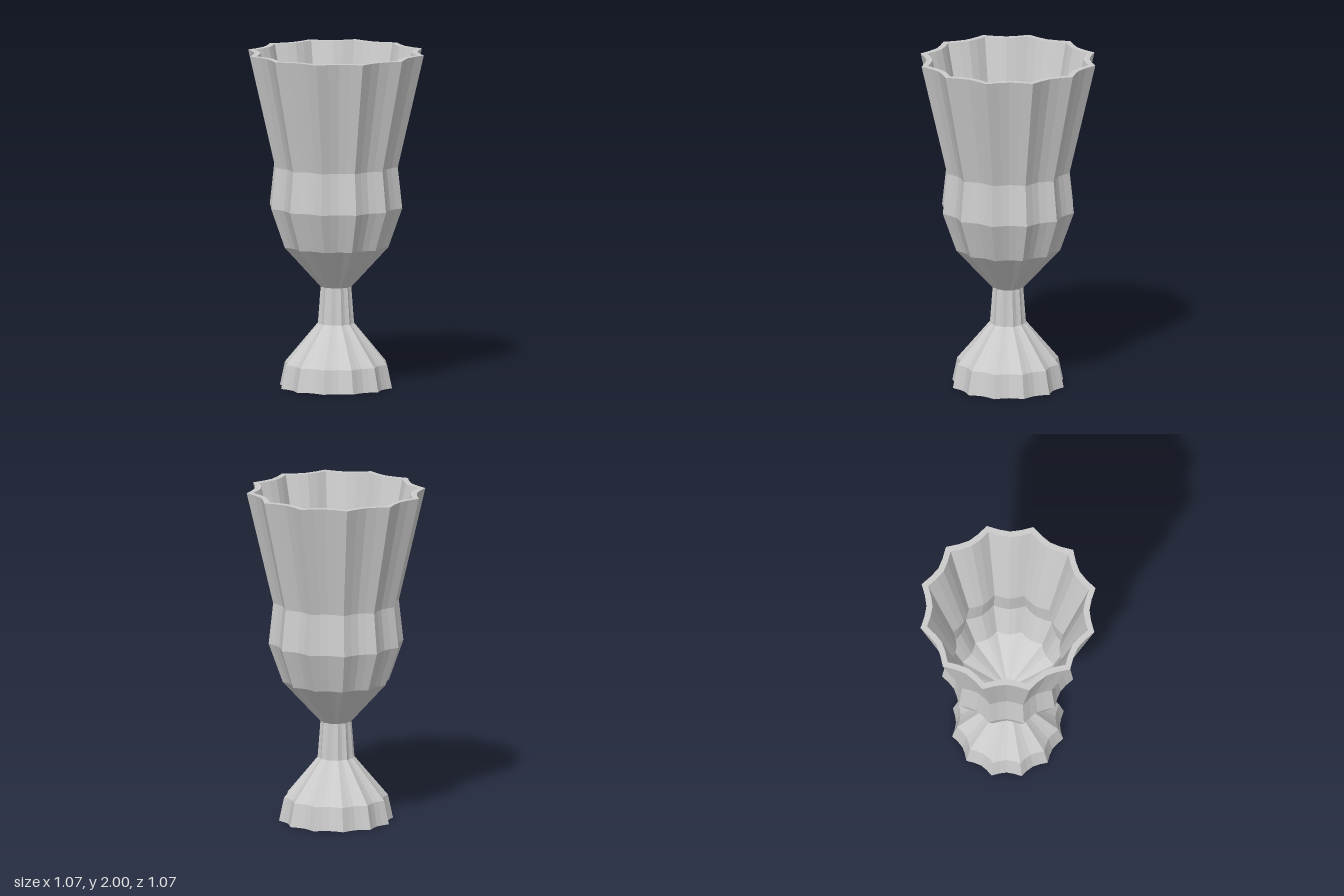
import * as THREE from 'three';

const LOBES = 12;
const SEGMENTS = LOBES * 4;
const DEPTH = 0.094; // valley depth as a share of the radius

// Revolve a profile of [radius, height] pairs, then pinch it into pointed flutes
function fluted(name, profile, material) {
  const points = profile.map(([r, y]) => new THREE.Vector2(r, y));
  const geometry = new THREE.LatheGeometry(points, SEGMENTS);
  const pos = geometry.attributes.position;
  for (let i = 0; i < pos.count; i++) {
    const angle = Math.atan2(pos.getX(i), pos.getZ(i));
    const k = 1 - DEPTH * Math.abs(Math.sin(angle * LOBES / 2));
    pos.setX(i, pos.getX(i) * k);
    pos.setZ(i, pos.getZ(i) * k);
  }
  const flat = geometry.toNonIndexed();
  flat.computeVertexNormals();
  const mesh = new THREE.Mesh(flat, material);
  mesh.name = name;
  return mesh;
}

export function createModel() {
  const group = new THREE.Group();
  group.name = 'goblet';
  const material = new THREE.MeshStandardMaterial({ color: 0xcccccc, flatShading: true });

  // Closed underside and flared foot
  group.add(fluted('foot', [[0, 0], [0.34, 0], [0.31, 0.14], [0.11, 0.38]], material));

  // Narrow stem
  group.add(fluted('stem', [[0.11, 0.38], [0.093, 0.6]], material));

  // Outer wall of the cup, from the stem up to the lip
  group.add(fluted('cupOutside', [
    [0.093, 0.6], [0.318, 0.845], [0.402, 1.08], [0.375, 1.325], [0.533, 2],
  ], material));

  // Flat lip
  group.add(fluted('rim', [[0.533, 2], [0.493, 2]], material));

  // Hollow inside, down to a conical floor
  group.add(fluted('cupInside', [
    [0.493, 2], [0.336, 1.325], [0.362, 1.08], [0.28, 0.845], [0, 0.62],
  ], material));

  return group;
}
